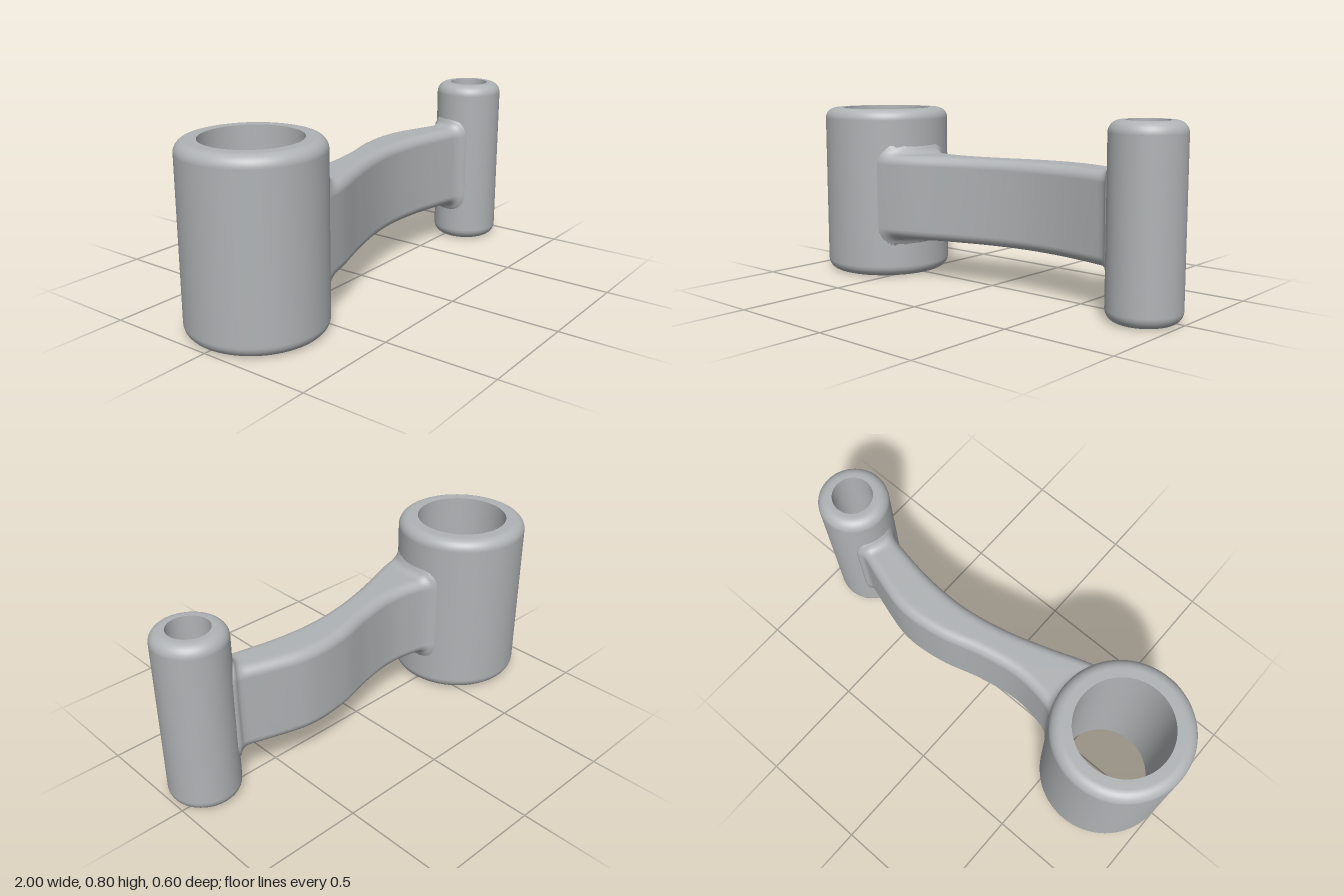
import * as THREE from 'three';

const BIG = { x: -0.7, z: 0, outer: 0.3, bore: 0.21 };
const SMALL = { x: 0.843, z: 0.05, outer: 0.157, bore: 0.09 };
const HEIGHT = 0.8, ROUND = 0.05;

// Edge curves of the arm seen from above, as z at evenly spaced x from -0.8 to 1
const edge = (zs) => {
  const curve = new THREE.SplineCurve(zs.map((z, i) => new THREE.Vector2(-0.8 + 0.2 * i, z)));
  return (x) => curve.getPoint((x + 0.8) / 1.8).y;
};
const frontEdge = edge([0.27, 0.25, 0.21, 0.14, 0.08, 0.047, 0.05, 0.08, 0.125, 0.17]);
const backEdge = edge([-0.26, -0.16, -0.08, -0.05, -0.08, -0.135, -0.15, -0.10, -0.03, 0.05]);

// Hollow upright sleeve with rounded outer rims
function sleeve(name, s, material) {
  const group = new THREE.Group();
  group.name = name;
  const profile = [new THREE.Vector2(s.bore, 0)];
  for (const top of [0, 1]) {
    for (let i = 0; i <= 8; i++) {
      const a = (top - 1 + i / 8) * Math.PI / 2;
      profile.push(new THREE.Vector2(
        s.outer - ROUND + ROUND * Math.cos(a),
        (top ? HEIGHT - ROUND : ROUND) + ROUND * Math.sin(a)));
    }
  }
  profile.push(new THREE.Vector2(s.bore, HEIGHT));
  const shell = new THREE.Mesh(new THREE.LatheGeometry(profile, 72), material);
  shell.name = name + 'Shell';
  const wall = [new THREE.Vector2(s.bore, HEIGHT), new THREE.Vector2(s.bore, 0)];
  const bore = new THREE.Mesh(new THREE.LatheGeometry(wall, 72), material);
  bore.name = name + 'Bore';
  group.add(shell, bore);
  group.position.set(s.x, 0, s.z);
  return group;
}

// Rounded-rectangle section: corner signs, outward direction and position across the top
function armSection() {
  const pts = [];
  const corners = [[1, 1], [-1, 1], [-1, -1], [1, -1]];
  corners.forEach(([sz, sy], c) => {
    for (let i = 0; i <= 6; i++) {
      const a = (c + i / 6) * Math.PI / 2;
      pts.push({ sz, sy, nz: Math.cos(a), ny: Math.sin(a) });
    }
    // extra points along the flat top and bottom
    if (c % 2 === 0) {
      for (let i = 1; i < 6; i++) pts.push({ sz: sz * (1 - i / 3), sy, nz: 0, ny: sy });
    }
  });
  return pts;
}

// Curved arm whose ends follow the sleeves and flare into them
function armGeometry() {
  const section = armSection(), n = section.length, steps = 80;
  const r = 0.045, midY = 0.393, halfY = 0.197;
  const positions = [], index = [];
  const flare = (x, z, s) => {
    const d = THREE.MathUtils.clamp(Math.hypot(x - s.x, z - s.z) - s.outer, 0, r);
    return r - Math.sqrt(r * r - (r - d) ** 2);
  };
  for (let i = 0; i <= steps; i++) {
    const t = (1 - Math.cos(Math.PI * i / steps)) / 2;
    for (const p of section) {
      const w = 0.5 + (p.sz * (0.08 - r) + r * p.nz) / 0.16;
      const z0 = THREE.MathUtils.lerp(-0.09, 0.245, w);
      const z1 = THREE.MathUtils.lerp(-0.11, 0.055, w);
      const x0 = BIG.x + Math.sqrt(0.27 ** 2 - z0 ** 2);
      const x1 = SMALL.x - Math.sqrt(0.125 ** 2 - z1 ** 2);
      const x = THREE.MathUtils.lerp(x0, x1, t);
      const f = frontEdge(x), b = backEdge(x), half = (f - b) / 2;
      const z = (f + b) / 2 + p.sz * (half - r) + r * p.nz;
      const big = flare(x, z, BIG), small = flare(x, z, SMALL);
      const y = midY + p.sy * (halfY - r) + p.ny * (r + big + small);
      // the front face already meets the large sleeve at a tangent
      const dz = p.nz * 0.5 * (small + (p.nz < 0 ? big : 0));
      positions.push(x, y, z + dz);
    }
  }
  for (let i = 0; i < steps; i++) {
    for (let j = 0; j < n; j++) {
      const a = i * n + j, b = i * n + (j + 1) % n;
      index.push(a, a + n, b, b, a + n, b + n);
    }
  }
  const g = new THREE.BufferGeometry();
  g.setAttribute('position', new THREE.Float32BufferAttribute(positions, 3));
  g.setIndex(index);
  g.computeVertexNormals();
  return g;
}

export function createModel() {
  const model = new THREE.Group();
  model.name = 'leverArm';
  const metal = new THREE.MeshStandardMaterial({ color: 0xb0b3b5 });
  metal.name = 'greyMetal';

  const arm = new THREE.Mesh(armGeometry(), metal);
  arm.name = 'curvedArm';
  model.add(sleeve('largeSleeve', BIG, metal), sleeve('smallSleeve', SMALL, metal), arm);
  return model;
}
